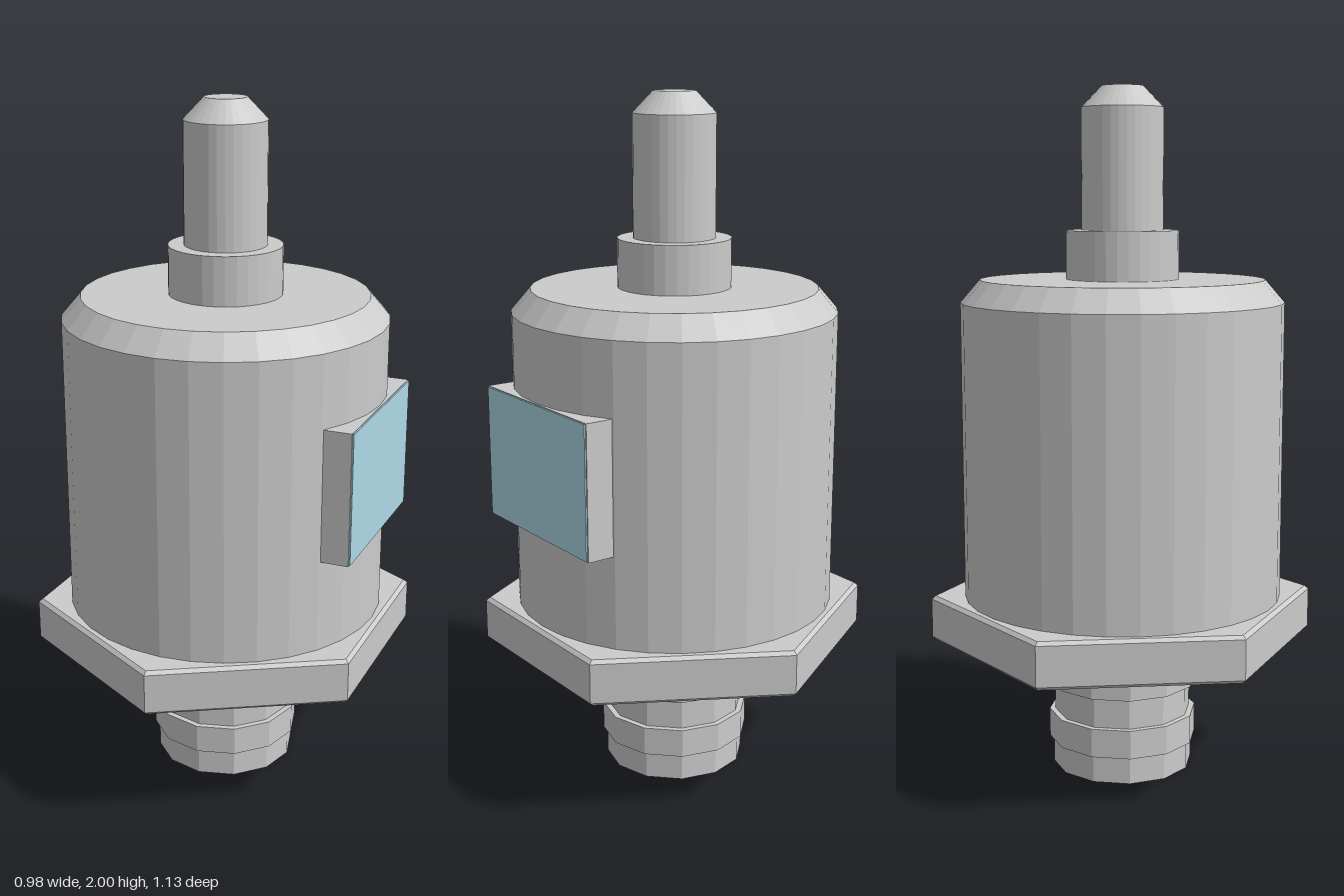
import * as THREE from 'three';

const grey = new THREE.MeshStandardMaterial({ color: 0xcccccc, flatShading: true });
const blue = new THREE.MeshStandardMaterial({ color: 0xadd8e6 });

export function createModel() {
  const model = new THREE.Group();

  const add = (name, geometry, material = grey) => {
    const mesh = new THREE.Mesh(geometry, material);
    mesh.name = name;
    model.add(mesh);
    return mesh;
  };

  // Turned solid: [radius, height] pairs from bottom to top, closed at the axis
  const turned = (name, sides, profile) => {
    const closed = [[0, profile[0][1]], ...profile, [0, profile[profile.length - 1][1]]];
    return add(name, new THREE.LatheGeometry(closed.map(([r, y]) => new THREE.Vector2(r, y)), sides));
  };

  // Threaded stub below the flange, with two raised ridges
  turned('threadedStub', 12, [
    [0.208, 0], [0.208, 0.08],
    [0.22, 0.08], [0.22, 0.165],
    [0.203, 0.165], [0.203, 0.255],
    [0.22, 0.255], [0.22, 0.335],
    [0.203, 0.335], [0.203, 0.4],
  ]);

  // Hexagonal flange with a fine bevel on both rims
  turned('hexFlange', 6, [[0.555, 0.39], [0.567, 0.4], [0.567, 0.515], [0.555, 0.525]]);

  // Main housing with chamfered shoulder
  turned('body', 32, [[0.468, 0.5], [0.468, 1.39], [0.412, 1.455]]);

  // Collar and tapered pin on top
  turned('collar', 32, [[0.163, 1.44], [0.163, 1.595]]);
  turned('pin', 32, [[0.118, 1.58], [0.118, 1.94], [0.06, 2]]);

  // Side plate with a coloured panel on its outer face
  add('sidePlate', new THREE.BoxGeometry(0.08, 0.385, 0.514)).position.set(0.432, 0.987, 0);
  add('sidePanel', new THREE.BoxGeometry(0.006, 0.38, 0.506), blue).position.set(0.473, 0.987, 0);

  return model;
}
